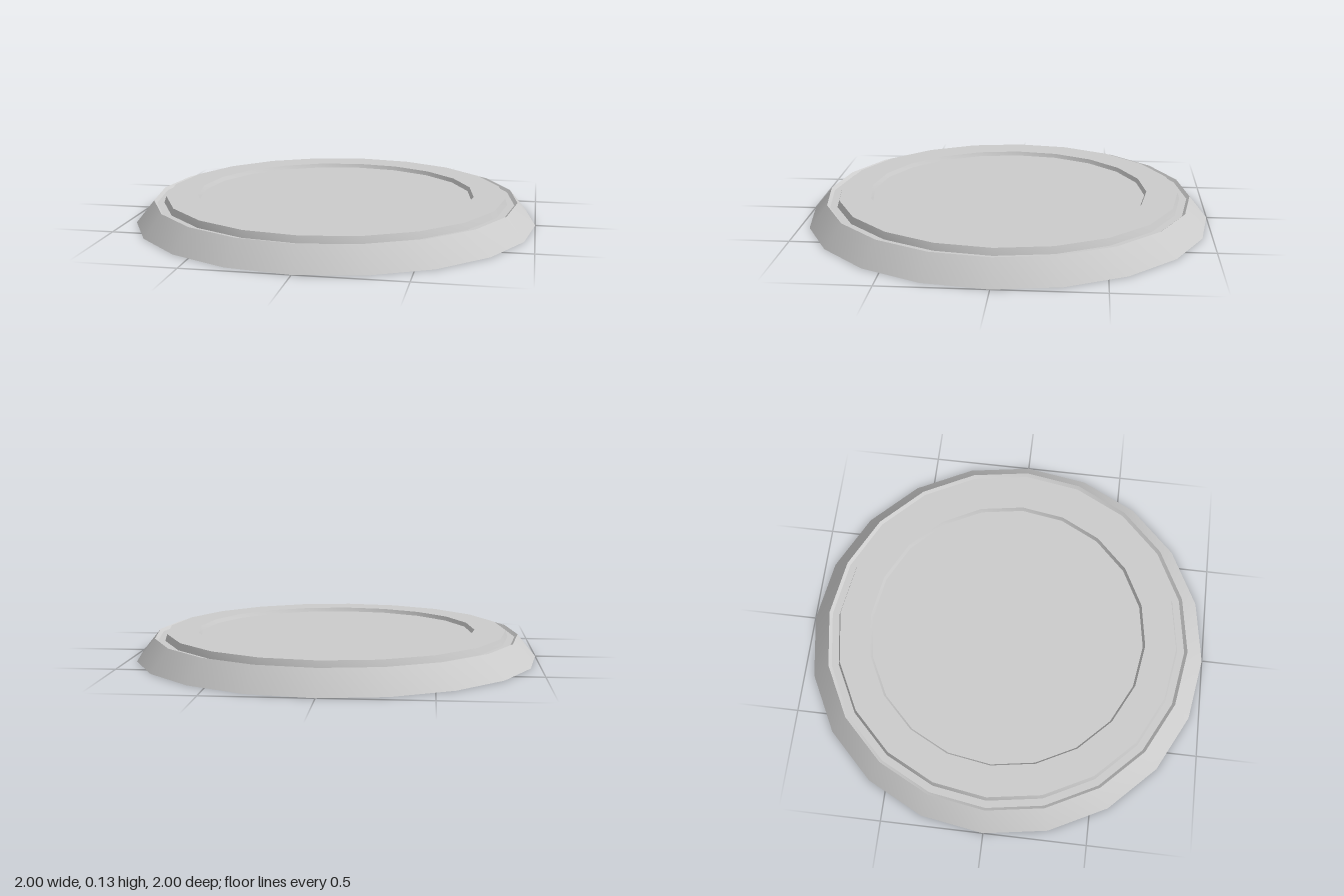
import * as THREE from 'three';
import { toCreasedNormals } from 'three/addons/utils/BufferGeometryUtils.js';

const SIDES = 20;

// Turned part with crisp profile edges, smooth around the axis
function turned(name, points, material) {
  const profile = points.map(([r, y]) => new THREE.Vector2(r, y));
  const geometry = toCreasedNormals(new THREE.LatheGeometry(profile, SIDES), 0.5);
  const mesh = new THREE.Mesh(geometry, material);
  mesh.name = name;
  return mesh;
}

export function createModel() {
  const group = new THREE.Group();
  group.name = 'roundBase';
  const grey = new THREE.MeshStandardMaterial({ color: 0xcccccc });

  // Flat underside, sloped skirt with a thin lip, and the groove behind it
  group.add(turned('skirt', [
    [0, 0], [1, 0], [0.91, 0.11], [0.895, 0.097], [0.86, 0.097],
  ], grey));

  // Raised ring stepping up from the groove and down to the recess
  group.add(turned('raisedRing', [
    [0.86, 0.097], [0.85, 0.13], [0.695, 0.13], [0.685, 0.11],
  ], grey));

  // Sunken centre disc
  group.add(turned('recessFloor', [[0.685, 0.11], [0, 0.11]], grey));

  return group;
}
